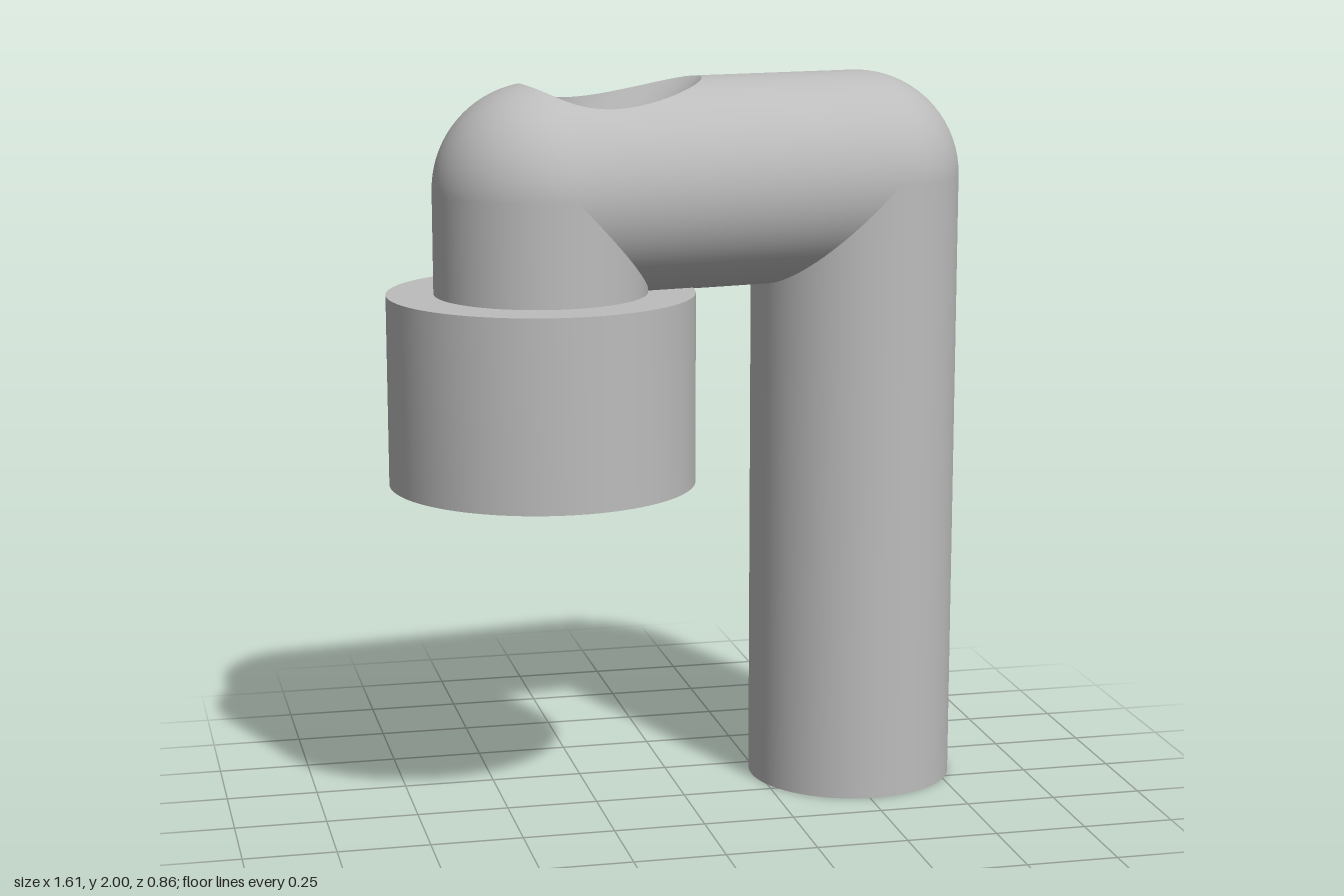
import * as THREE from 'three';
import { toCreasedNormals } from 'three/addons/utils/BufferGeometryUtils.js';

const R = 0.286;        // pipe radius
const L = 0.924;        // distance between the two uprights
const Y = 1.714;        // height of the arm axis
const BORE = 0.177;     // channel radius
const BEND = 0.08;      // channel bend, above the arm axis
const COLLAR_TOP = 1.44, COLLAR_BOTTOM = 0.925, LEDGE = 1.08;

const v = (x, y, z) => new THREE.Vector3(x, y, z);

// Surface from rows of [point, normal]; front side faces d(i) x d(j)
function grid(ni, nj, f) {
  const pos = [], nor = [], idx = [];
  for (let i = 0; i <= ni; i++) {
    for (let j = 0; j <= nj; j++) {
      const [p, n] = f(i, j);
      pos.push(p.x, p.y, p.z);
      nor.push(n.x, n.y, n.z);
      if (i < ni && j < nj) {
        const a = i * (nj + 1) + j, b = a + nj + 1;
        idx.push(a, b, a + 1, b, b + 1, a + 1);
      }
    }
  }
  const g = new THREE.BufferGeometry();
  g.setAttribute('position', new THREE.Float32BufferAttribute(pos, 3));
  g.setAttribute('normal', new THREE.Float32BufferAttribute(nor, 3));
  g.setIndex(idx);
  return g;
}

// Offset of a point from the arm's axis segment
const fromAxis = (p) => v(p.x - THREE.MathUtils.clamp(p.x, 0, L), p.y, p.z);

// Where the upright bore meets the 45 degree outlet
const mitre = (a) => v(BORE * Math.cos(a),
  BEND - BORE * Math.cos(a) * Math.tan(Math.PI / 8), BORE * Math.sin(a));

// Where the outlet breaks through the arm's surface
function rim(a) {
  const m = mitre(a);
  let lo = 0, hi = 0.6;
  for (let k = 0; k < 40; k++) {
    const s = (lo + hi) / 2;
    if (fromAxis(v(m.x + s, m.y + s, m.z)).length() < R) lo = s; else hi = s;
  }
  return v(m.x + lo, m.y + lo, m.z);
}

// Upper half of the arm with domed ends, spread from the rim to the capsule outline
function upperArm() {
  const N = 64, M = 28, spokes = [];
  for (let i = 0; i <= N; i++) spokes.push([-Math.PI / 2 + Math.PI * i / N, L]);
  for (let i = 0; i <= N; i++) spokes.push([Math.PI / 2 + Math.PI * i / N, 0]);
  spokes.push(spokes[0]);
  const rims = spokes.map(([a]) => rim(a));
  return grid(spokes.length - 1, M, (i, j) => {
    const [a, end] = spokes[i], k = Math.sin(j / M * Math.PI / 2);
    const p = v(THREE.MathUtils.lerp(rims[i].x, end + R * Math.cos(a), k), 0,
      THREE.MathUtils.lerp(rims[i].z, R * Math.sin(a), k));
    p.y = Math.sqrt(Math.max(0, R * R - fromAxis(p).lengthSq()));
    return [p, fromAxis(p).normalize()];
  });
}

// Lower half of the arm, mitred against both uprights
function lowerArm() {
  return grid(48, 1, (i, j) => {
    const a = Math.PI * i / 48, c = Math.cos(a), s = Math.sin(a);
    return [v(j ? L - R * s : R * s, -R * s, R * c), v(0, -s, c)];
  });
}

export function createModel() {
  const grey = new THREE.MeshStandardMaterial({ color: 0xbcbcbc });
  grey.name = 'grey';
  const model = new THREE.Group();
  model.name = 'bentPipe';

  // Local x runs along the arm, from the collar to the post
  const add = (name, geometry, x = 0, y = 0) => {
    const mesh = new THREE.Mesh(geometry, grey);
    mesh.name = name;
    mesh.position.set(x, y, 0);
    model.add(mesh);
  };

  add('post', new THREE.CylinderGeometry(R, R, Y, 96), L, Y / 2);
  add('armTop', upperArm(), 0, Y);
  add('armUnderside', lowerArm(), 0, Y);

  const neck = Y - COLLAR_TOP;
  add('neck', new THREE.CylinderGeometry(R, R, neck, 96, 1, true), 0, COLLAR_TOP + neck / 2);

  // Collar with a counterbored socket underneath
  const profile = [
    [BORE, LEDGE], [0.227, LEDGE], [0.227, COLLAR_BOTTOM],
    [0.413, COLLAR_BOTTOM], [0.413, COLLAR_TOP], [R - 0.005, COLLAR_TOP],
  ].map(([r, y]) => new THREE.Vector2(r, y));
  add('collar', toCreasedNormals(new THREE.LatheGeometry(profile, 96), 0.6));

  // Channel: upright bore, then the slanted outlet
  const S = 96, h = Math.SQRT1_2, angle = (i) => 2 * Math.PI * i / S;
  add('bore', grid(S, 1, (i, j) => {
    const a = angle(i), p = mitre(a);
    if (j === 0) p.y = LEDGE - Y;
    return [p, v(-Math.cos(a), 0, -Math.sin(a))];
  }), 0, Y);
  add('outlet', grid(S, 1, (i, j) => {
    const a = angle(i);
    return [j ? rim(a) : mitre(a), v(-h * Math.cos(a), h * Math.cos(a), -Math.sin(a))];
  }), 0, Y);

  model.position.set(-0.395, 0, 0.013);
  model.rotation.y = 0.17;
  const root = new THREE.Group();
  root.name = 'pipeBracket';
  root.add(model);
  return root;
}
